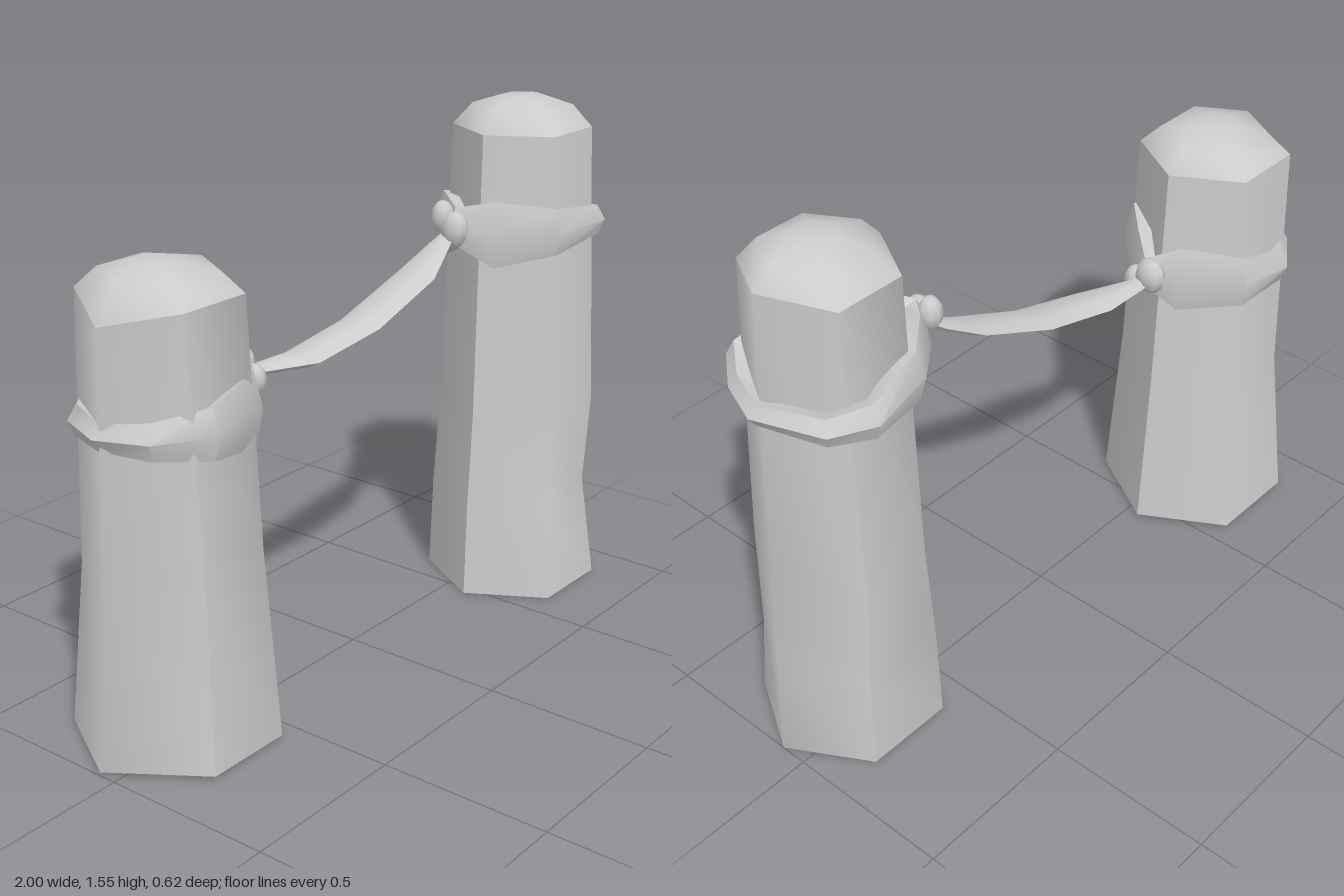
import * as THREE from 'three';
import { toCreasedNormals } from 'three/addons/utils/BufferGeometryUtils.js';

const grey = new THREE.MeshStandardMaterial({ color: 0xcccccc });
grey.name = 'stone grey';

// Skin a list of equal-length cross-sections; optionally wrap around or close end to end
function loft(rings, wrapSection = true, closeEnds = false) {
  const n = rings[0].length, m = rings.length, index = [];
  for (let i = 0; i < (closeEnds ? m : m - 1); i++) {
    for (let j = 0; j < (wrapSection ? n : n - 1); j++) {
      const k = (i + 1) % m, l = (j + 1) % n;
      const a = i * n + j, b = i * n + l, c = k * n + l, d = k * n + j;
      index.push(a, d, c, a, c, b);
    }
  }
  const g = new THREE.BufferGeometry();
  g.setAttribute('position', new THREE.Float32BufferAttribute(rings.flat(2), 3));
  g.setIndex(index);
  g.computeVertexNormals();
  return g;
}

function add(parent, name, geometry) {
  const mesh = new THREE.Mesh(geometry, grey);
  mesh.name = name;
  parent.add(mesh);
  return mesh;
}

// Hexagon with a corner on the x axis; corners can be nudged individually
function hexagon([y, cx, cz, r, nudged = {}]) {
  return Array.from({ length: 6 }, (_, k) => {
    const a = k * Math.PI / 3;
    return nudged[k] ?? [cx + r * Math.cos(a), y, cz + r * Math.sin(a)];
  });
}

// Six-sided post: three softly bent sides, a base and a rounded cap
function makePost(name, levels, firstEdge, capHeight) {
  const post = new THREE.Group();
  post.name = name;
  const rings = levels.map(hexagon);
  for (let s = 0; s < 3; s++) {
    const columns = [0, 1, 2].map(i => (firstEdge + s * 2 + i) % 6);
    add(post, 'postSide', loft(rings.map(r => columns.map(c => r[c])), false));
  }
  const [y0, x0, z0] = levels[0];
  add(post, 'postBase', loft([hexagon([y0, x0, z0, 0]), rings[0]]));

  const [y1, x1, z1, r1] = levels[levels.length - 1];
  const dome = [[0.72, 0.7], [0.34, 0.96], [0, 1]];
  add(post, 'postCap', loft([rings[rings.length - 1],
    ...dome.map(([f, h]) => hexagon([y1 + h * capHeight, x1, z1, r1 * f]))]));
  return post;
}

// Cloth loop around a post; stations are [x, z, low, high] on its outer face
function makeLoop(parent, name, cx, cz, stations) {
  const rings = stations.map(([x, z, low, high]) => {
    const d = Math.hypot(x - cx, z - cz);
    const at = (inset, y) => {
      const f = 1 - inset / d;
      return [cx + (x - cx) * f, y, cz + (z - cz) * f];
    };
    return [at(0, (low + high) / 2), at(0.02, low), at(0.07, low + 0.015),
      at(0.07, high - 0.015), at(0.025, high)];
  });
  add(parent, name, toCreasedNormals(loft(rings, true, true), 0.75));
}

// Knot made of two squashed blobs
function makeKnot(parent, name, blobs) {
  const knot = new THREE.Group();
  knot.name = name;
  for (const [x, y, z, sx, sy, sz] of blobs) {
    const blob = add(knot, 'knotFold', new THREE.SphereGeometry(1, 8, 6));
    blob.position.set(x, y, z);
    blob.scale.set(sx, sy, sz);
  }
  parent.add(knot);
}

export function createModel() {
  const model = new THREE.Group();
  model.name = 'tiedPosts';

  // Posts
  model.add(makePost('shortPost', [
    [0.01, -0.71, -0.05, 0.29, { 2: [-0.83, 0.01, 0.2] }],
    [0.55, -0.70, -0.055, 0.245, { 2: [-0.80, 0.55, 0.155], 4: [-0.845, 0.5, -0.245] }],
    [1.245, -0.705, -0.06, 0.22, { 3: [-0.925, 1.2, -0.06] }],
  ], 0, 0.08));
  model.add(makePost('tallPost', [
    [0, 0.733, 0.08, 0.267],
    [0.3, 0.73, 0.08, 0.255, { 1: [0.89, 0.3, 0.245] }],
    [0.6, 0.733, 0.08, 0.238, { 5: [0.83, 0.55, -0.13] }],
    [1.46, 0.72, 0.08, 0.208, { 0: [0.925, 1.485, 0.08] }],
  ], 1, 0.093));

  // Loops round the posts, starting at the knots
  makeLoop(model, 'shortPostLoop', -0.705, -0.06, [
    [-0.39, -0.04, 0.90, 0.99], [-0.45, 0.04, 0.82, 1.03], [-0.56, 0.15, 0.83, 1.04],
    [-0.77, 0.19, 0.86, 1.00], [-0.90, 0.08, 0.87, 0.97], [-0.95, -0.07, 0.88, 0.95],
    [-0.89, -0.22, 0.87, 0.96], [-0.77, -0.305, 0.85, 0.95], [-0.58, -0.29, 0.84, 1.00],
    [-0.45, -0.13, 0.82, 1.03],
  ]);
  makeLoop(model, 'tallPostLoop', 0.72, 0.08, [
    [0.42, 0.03, 1.14, 1.25], [0.49, -0.06, 1.08, 1.27], [0.60, -0.15, 1.10, 1.25],
    [0.80, -0.19, 1.11, 1.21], [0.92, -0.13, 1.12, 1.20], [0.99, 0.07, 1.13, 1.19],
    [0.94, 0.20, 1.13, 1.20], [0.86, 0.30, 1.13, 1.22], [0.60, 0.30, 1.11, 1.25],
    [0.48, 0.14, 1.07, 1.27],
  ]);

  // Knots
  makeKnot(model, 'shortPostKnot', [
    [-0.385, 0.965, -0.085, 0.035, 0.055, 0.05], [-0.39, 0.93, -0.03, 0.035, 0.045, 0.035],
  ]);
  makeKnot(model, 'tallPostKnot', [
    [0.425, 1.19, 0.045, 0.035, 0.055, 0.045], [0.435, 1.22, -0.005, 0.035, 0.05, 0.035],
  ]);

  // Sagging strip between the knots: [x, y, z, half width, half thickness]
  const strip = [
    [-0.40, 0.945, -0.06, 0.02, 0.012], [-0.35, 0.94, -0.06, 0.032, 0.014],
    [-0.20, 0.94, -0.025, 0.066, 0.02], [0.03, 0.985, 0.0, 0.07, 0.018],
    [0.27, 1.08, 0.02, 0.066, 0.018], [0.39, 1.15, 0.02, 0.035, 0.014],
    [0.43, 1.18, 0.025, 0.02, 0.012],
  ].map(([x, y, z, w, t]) => [
    [x, y, z + w], [x, y + t, z + w * 0.4], [x, y + t, z - w * 0.4],
    [x, y, z - w], [x, y - t, z - w * 0.4], [x, y - t, z + w * 0.4],
  ]);
  add(model, 'hangingStrip', toCreasedNormals(loft(strip), 0.7));
  return model;
}
